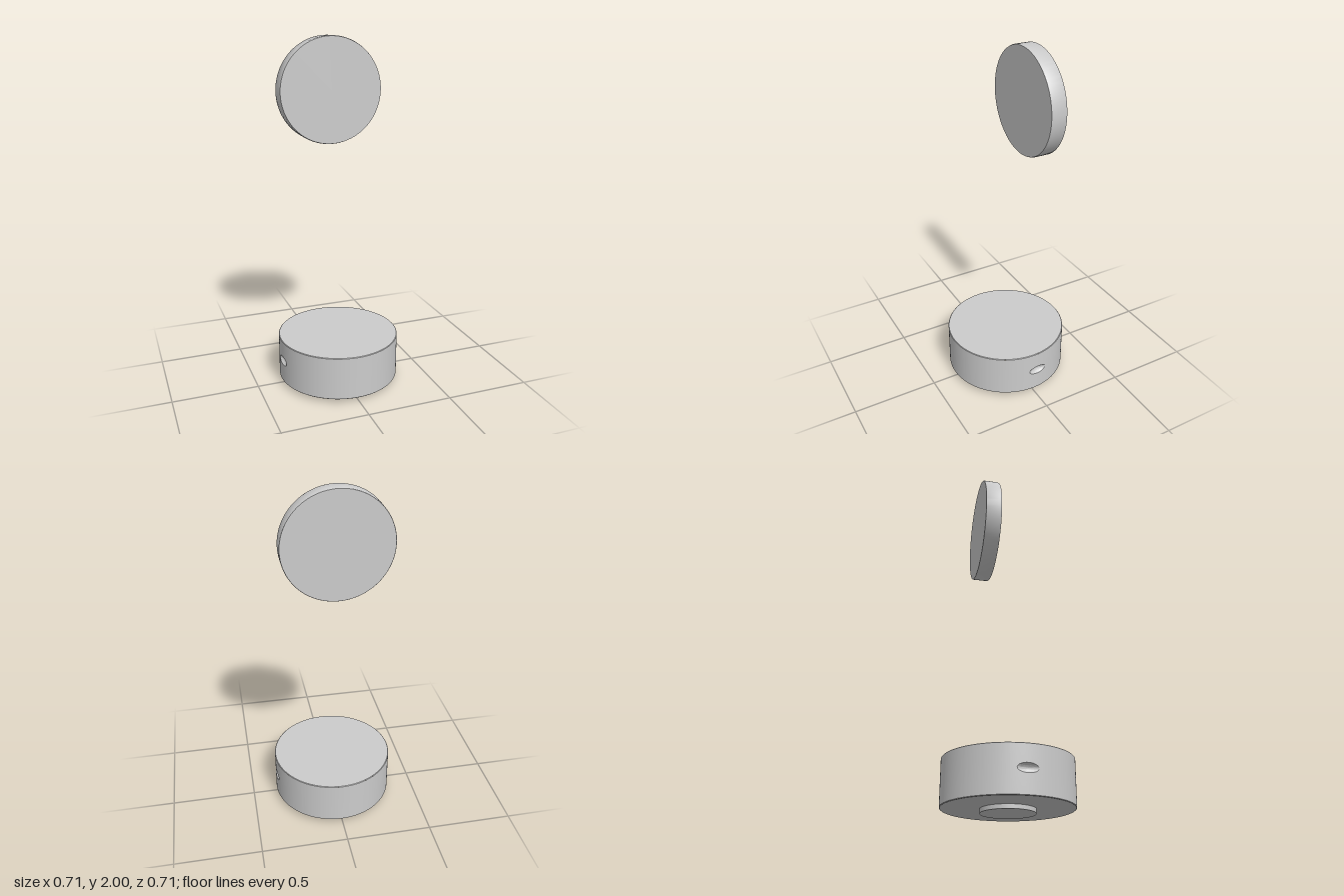
import * as THREE from 'three';
import { toCreasedNormals } from 'three/addons/utils/BufferGeometryUtils.js';

const material = new THREE.MeshStandardMaterial({ color: 0xcccccc });
const R = 0.354, WALL_LOW = 0.026, WALL_HIGH = 0.275;
const PATCH = 0.25;        // half angle of the wall section holding a dimple
const DIMPLE_TURN = 0.068; // offset of the dimples from the side axis

function mesh(name, geometry, crease = 0.4) {
  const m = new THREE.Mesh(toCreasedNormals(geometry, crease), material);
  m.name = name;
  return m;
}

function lathe(points) {
  return new THREE.LatheGeometry(points.map(([x, y]) => new THREE.Vector2(x, y)), 128);
}

// Wall section with an oval dimple: rings run from its centre, over the rim, to a rectangle
function dimpledWall(centreAngle) {
  const g = new THREE.PlaneGeometry(1, 2, 64, 16);
  const p = g.attributes.position;
  const midY = 0.155, halfAngle = 0.055 / R, halfHeight = 0.025, depth = 0.02;
  for (let i = 0; i < p.count; i++) {
    const t = -p.getX(i) * Math.PI * 2, v = p.getY(i) + 1;
    const c = Math.cos(t), s = Math.sin(t), k = Math.max(Math.abs(c), Math.abs(s));
    const inner = Math.min(v, 1), outer = Math.max(v - 1, 0);
    const edgeY = s > 0 ? WALL_HIGH - midY : midY - WALL_LOW;
    const a = centreAngle + THREE.MathUtils.lerp(inner * halfAngle * c, PATCH * c / k, outer);
    const y = midY + THREE.MathUtils.lerp(inner * halfHeight * s, edgeY * s / k, outer);
    const r = R - depth * (1 - inner * inner);
    p.setXYZ(i, r * Math.sin(a), y, r * Math.cos(a));
  }
  return g;
}

export function createModel() {
  const model = new THREE.Group();
  model.name = 'model';

  // Round base with finely chamfered edges
  const base = new THREE.Group();
  base.name = 'base';
  base.add(mesh('baseTop', lathe([[R, WALL_HIGH], [R - 0.003, 0.278], [0, 0.278]])));
  base.add(mesh('baseUnderside', lathe([[0, 0.023], [R - 0.003, 0.023], [R, WALL_LOW]])));
  base.add(mesh('foot', lathe([[0, 0], [0.147, 0], [0.147, 0.023]])));

  // Side wall: two dimpled sections and the plain arcs between them
  for (const side of [0, 1]) {
    const angle = Math.PI / 2 + DIMPLE_TURN + side * Math.PI;
    base.add(mesh(side ? 'rightDimple' : 'leftDimple', dimpledWall(angle)));
    const arc = new THREE.CylinderGeometry(R, R, WALL_HIGH - WALL_LOW, 96, 1, true,
      angle + PATCH, Math.PI - 2 * PATCH);
    arc.translate(0, (WALL_HIGH + WALL_LOW) / 2, 0);
    base.add(mesh(side ? 'frontWall' : 'backWall', arc));
  }
  model.add(base);

  // Upright disc floating above the base
  const r = 0.301;
  const disc = mesh('disc', lathe([
    [0, -0.189], [r - 0.002, -0.189], [r, -0.186], [r, -0.108], [r - 0.003, -0.098], [0, -0.098],
  ]), 0.6);
  disc.rotation.x = Math.PI / 2;
  disc.position.y = 2 - r;
  model.add(disc);

  return model;
}
